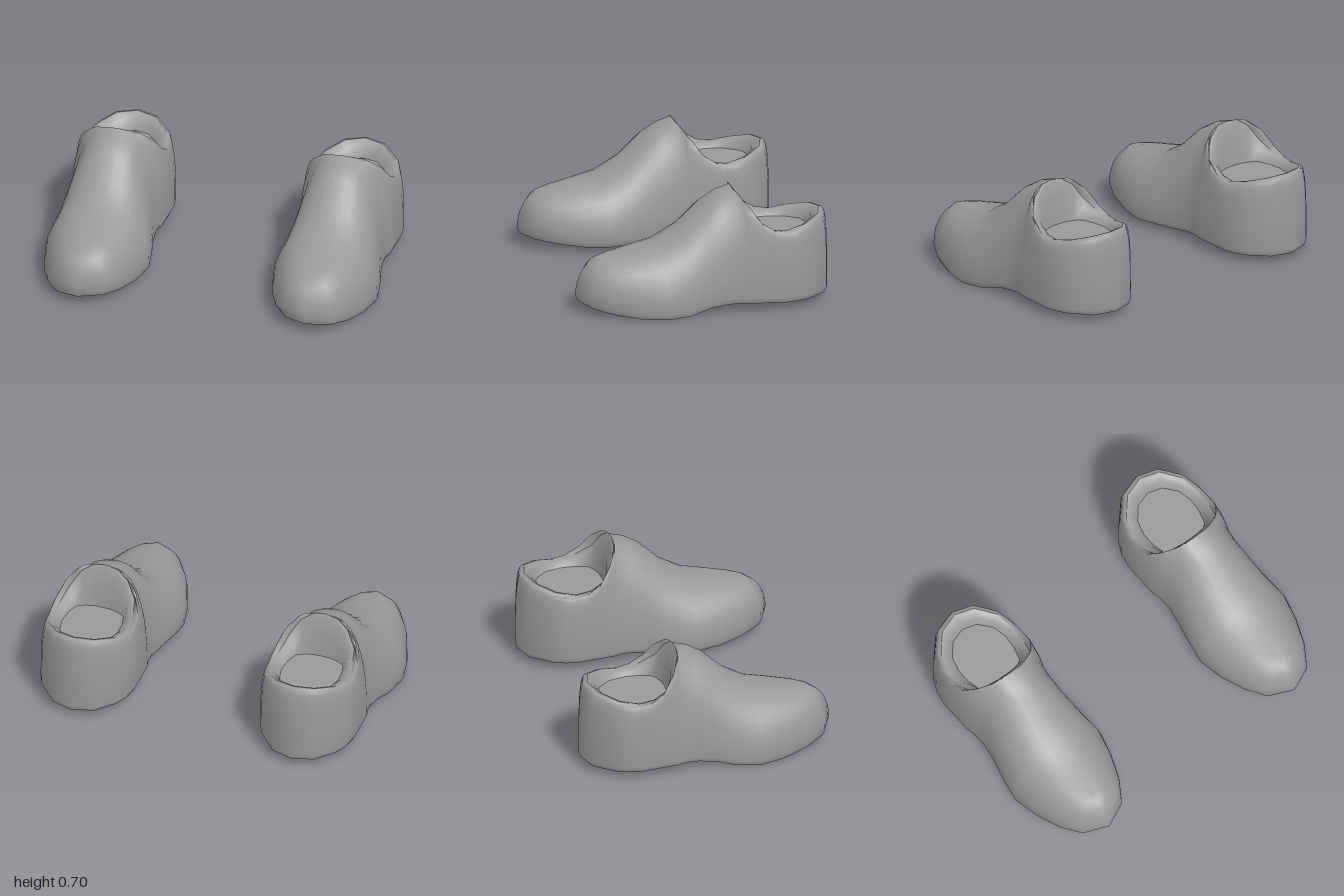
import * as THREE from 'three';
import { mergeVertices } from 'three/addons/utils/BufferGeometryUtils.js';

// Half-shoe stations, toe to heel: sole edge x, y, z, upper end x, y, z, roundness
const STATIONS = [
  [0, 0.068, 0.757, 0, 0.325, 0.60, 1],
  [0.145, 0.055, 0.69, 0, 0.33, 0.57, 0.9],
  [0.222, 0.035, 0.57, 0, 0.343, 0.52, 0.85],
  [0.28, 0.018, 0.42, 0, 0.366, 0.42, 0.85],
  [0.315, 0.0155, 0.27, 0, 0.405, 0.27, 0.92],
  [0.295, 0.022, 0.13, 0, 0.495, 0.13, 0.95],
  [0.27, 0.04, 0, 0, 0.62, 0, 0.9],
  [0.26, 0.05, -0.1, 0, 0.675, -0.09, 0.85],
  [0.265, 0.055, -0.18, 0, 0.7, -0.175, 0.85], // tongue tip, the collar starts here
  [0.278, 0.052, -0.23, 0.07, 0.693, -0.178, 0.82],
  [0.28, 0.05, -0.3, 0.145, 0.64, -0.2, 0.75],
  [0.285, 0.05, -0.37, 0.2, 0.55, -0.235, 0.65],
  [0.285, 0.045, -0.45, 0.228, 0.485, -0.34, 0.6],
  [0.272, 0.045, -0.53, 0.235, 0.47, -0.45, 0.6],
  [0.235, 0.045, -0.61, 0.205, 0.495, -0.57, 0.6],
  [0.135, 0.045, -0.72, 0.118, 0.525, -0.67, 0.6],
  [0, 0.045, -0.758, 0, 0.535, -0.705, 0.6],
];
const COLLAR_START = 8;
const ARCH_STEPS = 9;
const FLOOR_Y = 0.44, FLOOR_Z = -0.42;

const leather = new THREE.MeshStandardMaterial({ color: 0x999999 });
leather.name = 'grey leather';

// Skins a closed ring of columns, each a list of points
function skin(columns) {
  const rows = columns[0].length, count = columns.length, index = [];
  for (let i = 0; i < count; i++) {
    const n = (i + 1) % count;
    for (let j = 0; j < rows - 1; j++) {
      const a = i * rows + j, b = n * rows + j;
      index.push(a, b, b + 1, a, b + 1, a + 1);
    }
  }
  const g = new THREE.BufferGeometry();
  g.setAttribute('position', new THREE.Float32BufferAttribute(columns.flat(2), 3));
  g.setIndex(index);
  const merged = mergeVertices(g, 1e-4);
  merged.computeVertexNormals();
  return merged;
}

// Runs a column rule down one side of the shoe and back along the other
function around(stations, rule) {
  const left = stations.map((s) => rule(s, 1));
  const right = stations.slice(1, -1).reverse().map((s) => rule(s, -1));
  return left.concat(right);
}

function makeShoe(side) {
  // The outer edge of the forefoot sits slightly lower than the inner edge
  const soleY = (s, m) => s[1] - (s[2] > 0 ? 0.05 * s[0] * m * side : 0);
  const soleEdge = (s, m) => [s[0] * m * 0.94, soleY(s, m), s[2] * 0.98];

  const sole = (s, m) => [[0, s[1], s[2] * 0.98], soleEdge(s, m)];

  // Rounded wall from the sole edge up to the ridge or collar rim
  const upper = (s, m) => {
    const [x, , z, tx, ty, tz, p] = s;
    const base = soleY(s, m) + 0.033;
    const column = [soleEdge(s, m)];
    for (let k = 0; k <= ARCH_STEPS; k++) {
      const t = (k / ARCH_STEPS) * Math.PI / 2;
      const h = Math.pow(Math.max(0, Math.cos(t)), p);
      const v = Math.pow(Math.sin(t), p);
      column.push([m * (tx + (x - tx) * h), base + (ty - base) * v, tz + (z - tz) * h]);
    }
    return column;
  };

  // Inner collar sloping from the rim down to the insole
  const floorPoint = (s, m) => [s[3] * m * 0.74, FLOOR_Y, FLOOR_Z + (s[5] - FLOOR_Z) * 0.75];
  const lining = (s, m) => {
    const f = floorPoint(s, m);
    return [[0, 0], [0.25, 0.08], [0.68, 0.42], [1, 1]].map(([h, v]) => [
      THREE.MathUtils.lerp(s[3] * m, f[0], h),
      THREE.MathUtils.lerp(s[4], f[1], v),
      THREE.MathUtils.lerp(s[5], f[2], h),
    ]);
  };
  const insole = (s, m) => [floorPoint(s, m), [0, FLOOR_Y, FLOOR_Z]];

  const collar = STATIONS.slice(COLLAR_START);
  const shoe = new THREE.Group();
  const parts = [
    ['sole', STATIONS, sole],
    ['upper', STATIONS, upper],
    ['collarLining', collar, lining],
    ['insole', collar, insole],
  ];
  for (const [name, stations, rule] of parts) {
    const mesh = new THREE.Mesh(skin(around(stations, rule)), leather);
    mesh.name = name;
    shoe.add(mesh);
  }
  shoe.position.x = 0.685 * side;
  shoe.name = side > 0 ? 'leftShoe' : 'rightShoe';
  return shoe;
}

export function createModel() {
  const model = new THREE.Group();
  model.name = 'pairOfShoes';
  model.add(makeShoe(1), makeShoe(-1));
  return model;
}
